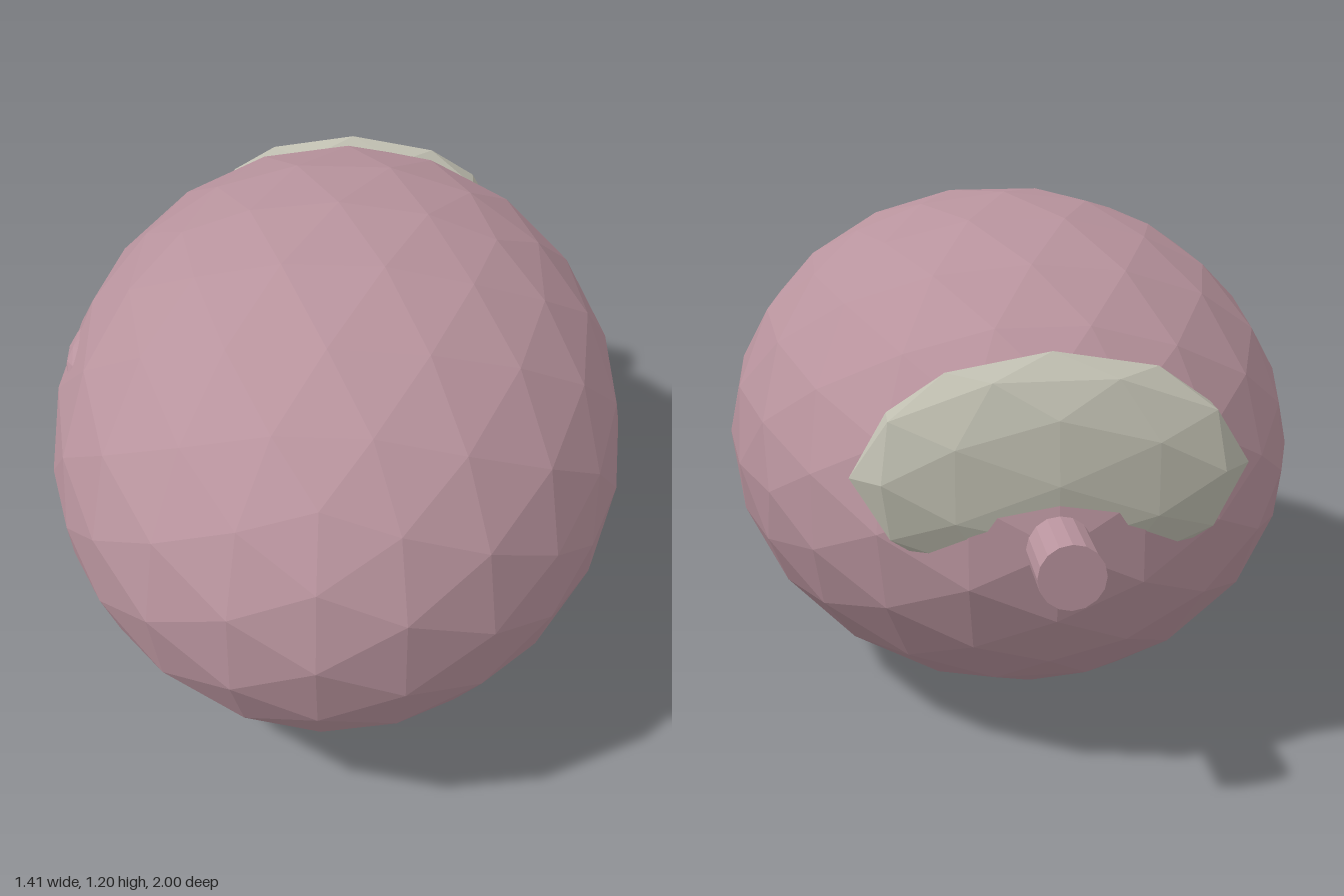
import * as THREE from 'three';

export function createModel() {
  const model = new THREE.Group();
  const skin = new THREE.MeshStandardMaterial({ color: 0xb8939d, flatShading: true });
  skin.name = 'dusty pink';
  const cap = new THREE.MeshStandardMaterial({ color: 0xbfbeb0, flatShading: true });
  cap.name = 'pale grey';

  const add = (name, geometry, material, x, y, z) => {
    const mesh = new THREE.Mesh(geometry, material);
    mesh.name = name;
    mesh.position.set(x, y, z);
    model.add(mesh);
    return mesh;
  };
  // Faceted ellipsoid with the given half sizes
  const ellipsoid = (rx, ry, rz, detail) =>
    new THREE.IcosahedronGeometry(1, detail).scale(rx, ry, rz);

  // Large egg-shaped body
  add('body', ellipsoid(0.705, 0.598, 0.928, 3), skin, 0, 0.6, 0.07);

  // Flattened cap sunk into the back, arching over the stem
  add('cap', ellipsoid(0.425, 0.257, 0.112, 1), cap, 0, 0.733, -0.73);

  // Short stem pointing backwards
  add('stem', new THREE.CylinderGeometry(0.07, 0.07, 0.25, 16).rotateX(Math.PI / 2),
    skin, 0, 0.6, -0.875);

  // Small bump barely breaking the surface of the right side
  add('bump', ellipsoid(0.04, 0.055, 0.12, 1), skin, -0.615, 0.81, 0.14).rotation.z = -0.4;

  return model;
}
